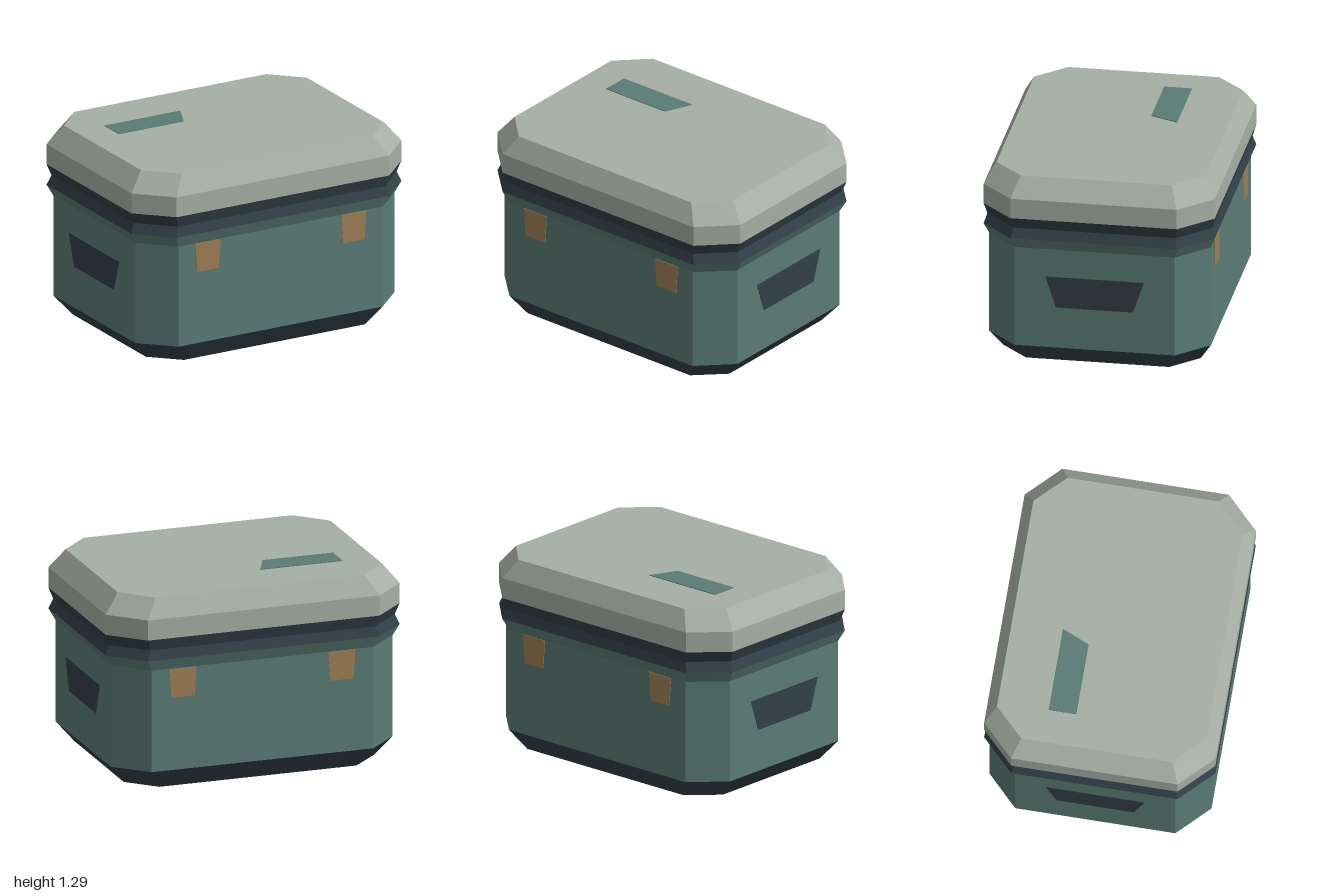
import * as THREE from 'three';

const mat = (name, color) => {
  const m = new THREE.MeshStandardMaterial({ color });
  m.name = name;
  return m;
};

// Chamfered rectangle: half sizes hx, hz; straight edges end at cx, cz
const ring = (y, hx, hz, cx, cz) => [
  [hx, y, cz], [cx, y, hz], [-cx, y, hz], [-hx, y, cz],
  [-hx, y, -cz], [-cx, y, -hz], [cx, y, -hz], [hx, y, -cz],
];

// Faceted shell through stacked rings, with optional caps
function shell(name, rings, material, capBottom, capTop) {
  const pos = [];
  const tri = (...pts) => pts.forEach((p) => pos.push(...p));
  for (let r = 0; r < rings.length - 1; r++) {
    const lo = rings[r], hi = rings[r + 1];
    for (let i = 0; i < 8; i++) {
      const j = (i + 1) % 8;
      tri(lo[i], hi[i], hi[j]);
      tri(lo[i], hi[j], lo[j]);
    }
  }
  const bottom = rings[0], top = rings[rings.length - 1];
  for (let i = 1; i < 7; i++) {
    if (capBottom) tri(bottom[0], bottom[i], bottom[i + 1]);
    if (capTop) tri(top[0], top[i + 1], top[i]);
  }
  const geo = new THREE.BufferGeometry();
  geo.setAttribute('position', new THREE.Float32BufferAttribute(pos, 3));
  geo.computeVertexNormals();
  const mesh = new THREE.Mesh(geo, material);
  mesh.name = name;
  return mesh;
}

// Thin plate cut from a flat outline
function plate(name, outline, material) {
  const shape = new THREE.Shape(outline.map(([x, y]) => new THREE.Vector2(x, y)));
  const geo = new THREE.ExtrudeGeometry(shape, { depth: 0.004, bevelEnabled: false });
  const mesh = new THREE.Mesh(geo, material);
  mesh.name = name;
  return mesh;
}

export function createModel() {
  const green = mat('muted green', 0x5b7c75);
  const grey = mat('pale grey', 0xa6afa5);
  const navy = mat('dark slate', 0x323f48);
  const bronze = mat('bronze', 0x9f7f55);

  const foot = ring(0, 0.85, 0.64, 0.67, 0.465);
  const bodyLow = ring(0.13, 0.96, 0.72, 0.755, 0.52);
  const bodyHigh = ring(0.81, 0.96, 0.72, 0.755, 0.52);
  const rim = ring(0.885, 1, 0.75, 0.787, 0.54);
  const groove = ring(0.95, 0.972, 0.73, 0.765, 0.525);
  const lidLow = ring(1.025, 1, 0.75, 0.787, 0.54);
  const lidHigh = ring(1.16, 1, 0.75, 0.787, 0.54);
  const lidTop = ring(1.285, 0.9, 0.68, 0.71, 0.49);

  const model = new THREE.Group();
  model.name = 'storageBox';
  model.add(
    shell('base', [foot, bodyLow], navy, true, false),
    shell('body', [bodyLow, bodyHigh, rim], green, false, false),
    shell('seal', [rim, groove, lidLow], navy, false, false),
    shell('lid', [lidLow, lidHigh, lidTop], grey, false, true),
  );

  // Latches on front and back, handle panels on both ends
  for (const turn of [0, Math.PI]) {
    for (const x of [-0.54, 0.54]) {
      const latch = plate('latch',
        [[-0.08, 0.615], [0.08, 0.615], [0.093, 0.808], [-0.093, 0.808]], bronze);
      latch.position.set(x, 0, 0.72);
      const side = new THREE.Group();
      side.name = turn ? 'backLatch' : 'frontLatch';
      side.rotation.y = turn;
      side.add(latch);
      model.add(side);
    }
    const panel = plate('handlePanel',
      [[-0.25, 0.41], [0.25, 0.41], [0.32, 0.62], [-0.32, 0.62]], navy);
    panel.rotation.y = turn + Math.PI / 2;
    panel.position.x = turn ? -0.96 : 0.96;
    model.add(panel);
  }

  // Slanted tag on the lid
  const tag = plate('lidTag',
    [[-0.68, 0.17], [-0.2, 0.17], [-0.12, 0.35], [-0.68, 0.35]], green);
  tag.rotation.x = -Math.PI / 2;
  tag.position.y = 1.285;
  model.add(tag);

  return model;
}
